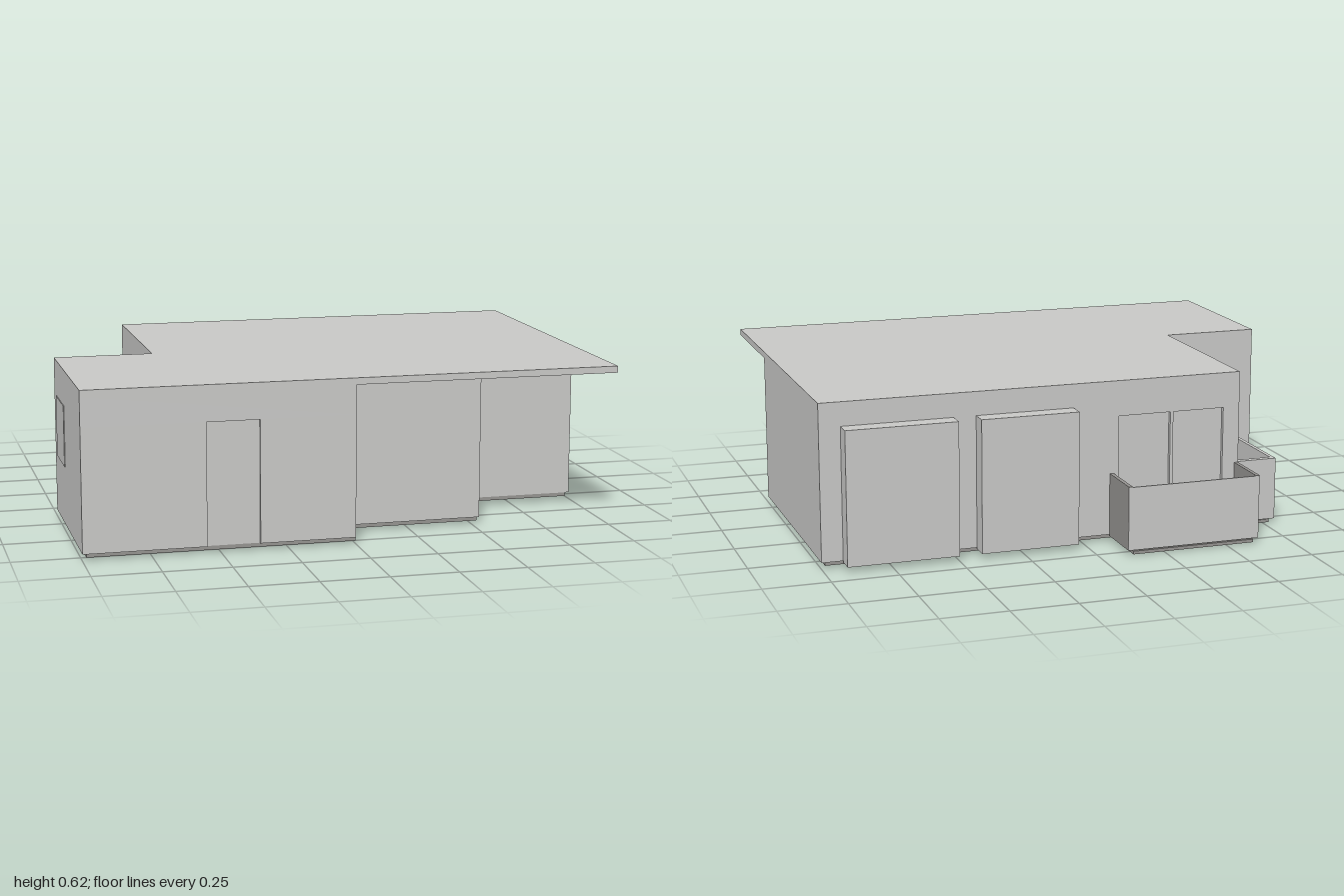
import * as THREE from 'three';

export function createModel() {
  const model = new THREE.Group();
  const lightGrey = new THREE.MeshStandardMaterial({ color: 0xc8c8c6 });
  lightGrey.name = 'lightGrey';
  const darkGrey = new THREE.MeshStandardMaterial({ color: 0x959390 });
  darkGrey.name = 'darkGrey';

  const add = (name, geometry, material) => {
    const mesh = new THREE.Mesh(geometry, material);
    mesh.name = name;
    model.add(mesh);
  };

  // Box given by its limits on each axis
  const box = (name, [x0, x1], [y0, y1], [z0, z1], material) => {
    const g = new THREE.BoxGeometry(x1 - x0, y1 - y0, z1 - z0);
    g.translate((x0 + x1) / 2, (y0 + y1) / 2, (z0 + z1) / 2);
    add(name, g, material);
  };

  // Upright prism over a floor plan of [x, z] points
  const prism = (name, plan, y0, y1, material) => {
    const shape = new THREE.Shape(plan.map(([x, z]) => new THREE.Vector2(x, -z)));
    const g = new THREE.ExtrudeGeometry(shape, { depth: y1 - y0, bevelEnabled: false });
    g.rotateX(-Math.PI / 2);
    g.translate(0, y0, 0);
    add(name, g, material);
  };

  // Recessed opening along a wall at depth z, running from x = a to x = b
  const recess = (a, b, z, inset) => [[a, z], [a, inset], [b, inset], [b, z]];

  // Stepped front, straight back
  const front = [[0, 0.8], [0, 0.62], [0.53, 0.62], [0.53, 0.325], [1, 0.325], [1, -0.6]];
  const side = [[-0.625, -0.6], [-0.625, 0.12], [-1, 0.12], [-1, 0.8]];
  const plan = [...front, ...side];
  const planWithDoors = [
    ...front,
    ...recess(-0.14, -0.345, -0.6, -0.585),
    ...recess(-0.357, -0.56, -0.6, -0.585),
    ...side,
    ...recess(-0.55, -0.355, 0.8, 0.79),
  ];

  // Floor, walls and flat roof
  prism('floorSlab', plan.map(([x, z]) => [x * 0.985, (z - 0.1) * 0.985 + 0.1]), 0.01, 0.025, darkGrey);
  prism('lowerWalls', planWithDoors, 0.025, 0.48, lightGrey);
  prism('upperWalls', plan, 0.48, 0.59, lightGrey);
  prism('roof', [[-1, 0.8], [1, 0.8], [1, -0.6], ...side.slice(0, 3)], 0.59, 0.615, lightGrey);

  // Box bays on the back wall
  for (const x of [[0.04, 0.415], [0.5, 0.92]]) {
    box('backBay', x, [0.02, 0.525], [-0.667, -0.6], lightGrey);
  }

  // Window on the right wing
  box('sideWindow', [-1.003, -0.999], [0.25, 0.48], [0.18, 0.385], lightGrey);

  // Back balcony
  box('backBalconyFloor', [-0.605, -0.125], [0.004, 0.016], [-0.8, -0.6], darkGrey);
  box('backBalconyParapet', [-0.625, -0.105], [0.02, 0.26], [-0.8, -0.794], lightGrey);
  for (const x of [[-0.625, -0.61], [-0.12, -0.105]]) {
    box('backBalconyEnd', x, [0.02, 0.262], [-0.799, -0.6], darkGrey);
  }

  // Side balcony
  box('sideBalconyFloor', [-0.777, -0.625], [0, 0.012], [-0.565, -0.145], darkGrey);
  box('sideBalconyParapet', [-0.79, -0.775], [0.02, 0.26], [-0.585, -0.145], lightGrey);
  box('sideBalconyEnd', [-0.775, -0.625], [0.02, 0.26], [-0.585, -0.562], lightGrey);

  return model;
}
